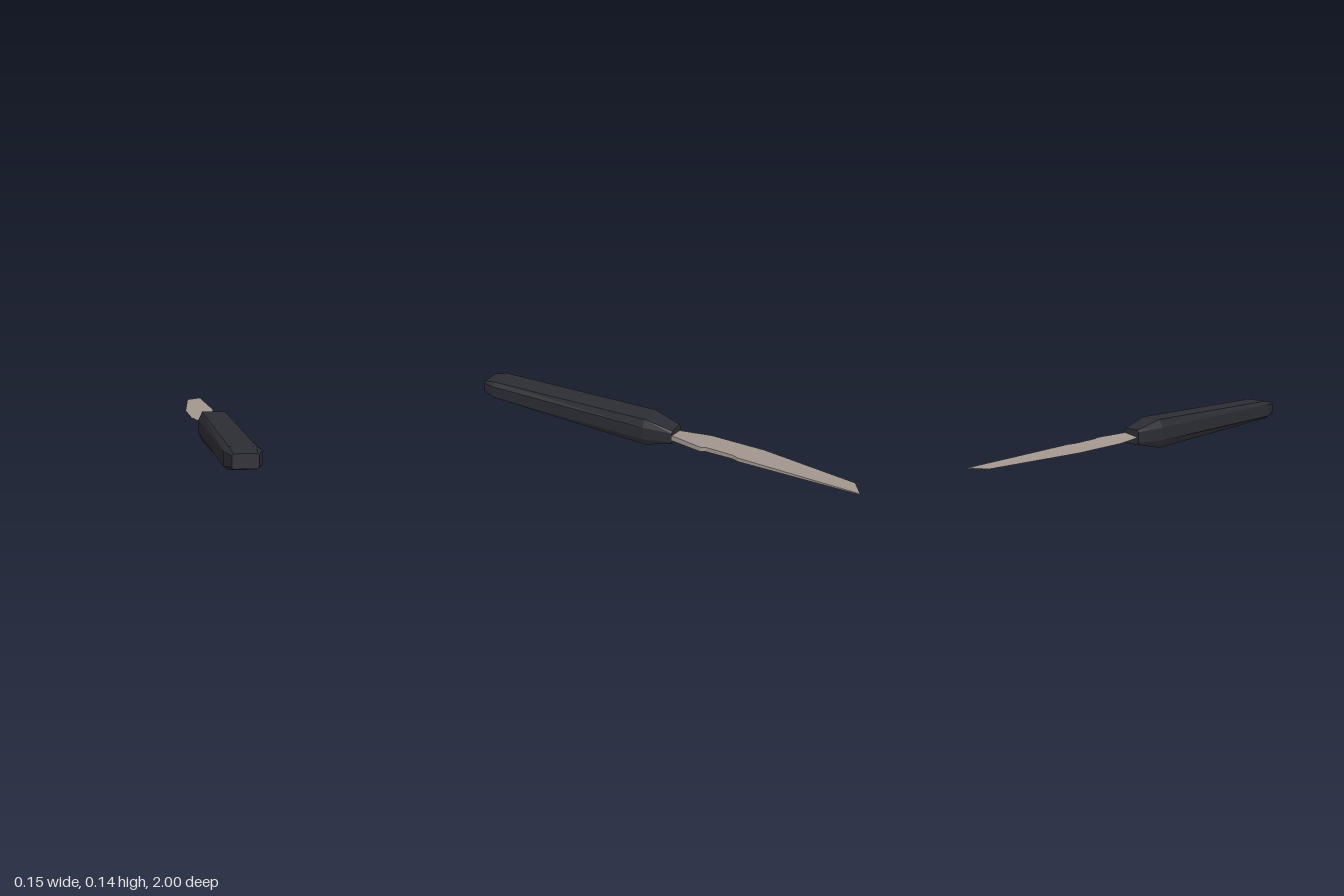
import * as THREE from 'three';

const MID = 0.068; // height of the long axis

// Lofts closed cross-sections, ordered from +z to -z, each counter-clockwise seen from +z.
function loft(sections) {
  const pos = [];
  const tri = (a, b, c) => pos.push(...a, ...b, ...c);
  const n = sections[0].length;
  for (let s = 0; s < sections.length - 1; s++) {
    const a = sections[s], b = sections[s + 1];
    for (let i = 0; i < n; i++) {
      const j = (i + 1) % n;
      tri(a[i], b[i], a[j]);
      tri(a[j], b[i], b[j]);
    }
  }
  const first = sections[0], last = sections[sections.length - 1];
  for (let i = 1; i < n - 1; i++) {
    tri(first[0], first[i], first[i + 1]);
    tri(last[0], last[i + 1], last[i]);
  }
  const g = new THREE.BufferGeometry();
  g.setAttribute('position', new THREE.Float32BufferAttribute(pos, 3));
  g.computeVertexNormals();
  return g;
}

// Chamfered rectangle: half width, half height, flat top half width, flat side half height
function octagon(z, w, h, fw, fh) {
  return [[w, -fh], [w, fh], [fw, h], [-fw, h], [-w, fh], [-w, -fh], [-fw, -h], [fw, -h]]
    .map(([x, y]) => [x, MID + y, z]);
}

// Wedge section: thick spine on +x, sharp edge on -x
function wedge(xSpine, zSpine, xEdge, zEdge) {
  const h = 0.0025 + 0.0118 * (1 + zSpine);
  return [[xSpine, MID - h, zSpine], [xSpine, MID + h, zSpine], [xEdge, MID, zEdge]];
}

export function createModel() {
  const group = new THREE.Group();
  const handleMaterial = new THREE.MeshStandardMaterial({ color: 0x2c2c34 });
  const bladeMaterial = new THREE.MeshStandardMaterial({ color: 0xa3978f });
  handleMaterial.name = 'dark grip';
  bladeMaterial.name = 'warm steel';
  handleMaterial.flatShading = bladeMaterial.flatShading = true;

  // Faceted handle
  const handle = new THREE.Mesh(loft([
    octagon(1.0, 0.053, 0.03, 0.046, 0.022),
    octagon(0.93, 0.077, 0.046, 0.055, 0.03),
    octagon(0.07, 0.07, 0.068, 0.053, 0.031),
    octagon(-0.07, 0.043, 0.035, 0.036, 0.025),
  ]), handleMaterial);
  handle.name = 'handle';

  // Blade with a shallow notch in its spine and a slanted tip
  const blade = new THREE.Mesh(loft([
    wedge(0.04, -0.05, -0.037, -0.05),
    wedge(0.042, -0.07, -0.039, -0.07),
    wedge(0.065, -0.22, -0.07, -0.22),
    wedge(0.065, -0.235, -0.07, -0.235),
    wedge(0.055, -0.255, -0.07, -0.255),
    wedge(0.055, -0.39, -0.07, -0.39),
    wedge(0.065, -0.42, -0.07, -0.42),
    wedge(0.065, -0.49, -0.07, -0.49),
    wedge(0.065, -1.0, -0.01, -0.95),
  ]), bladeMaterial);
  blade.name = 'blade';

  group.add(handle, blade);
  return group;
}
